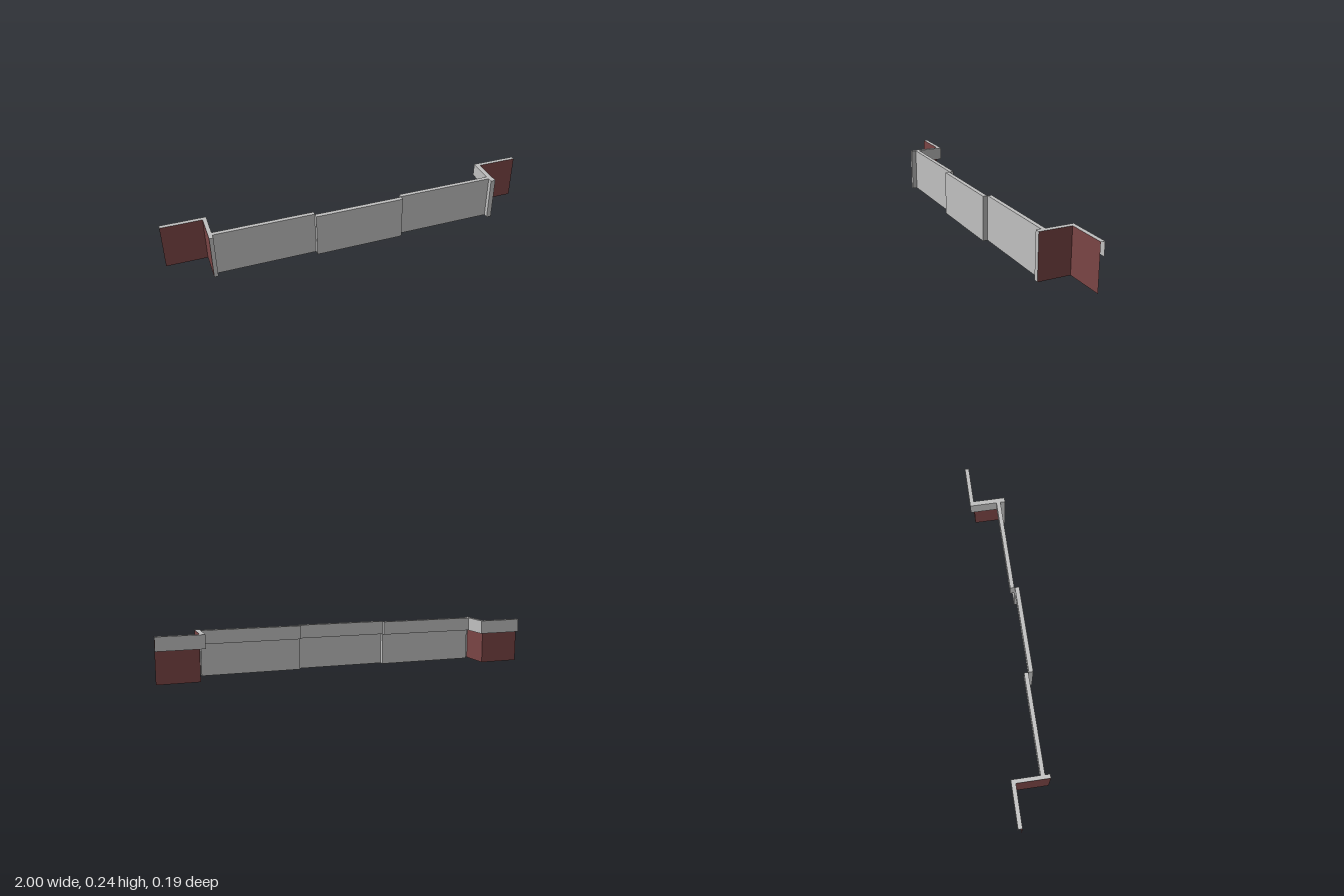
import * as THREE from 'three';

const TOP = 0.238, BAND = 0.167; // wall height, lower edge of the rear coping band

export function createModel() {
  const model = new THREE.Group();
  model.name = 'parapet';
  const metal = new THREE.MeshStandardMaterial({ name: 'lightGrey', color: 0xc0c0c0, side: THREE.DoubleSide });
  const red = new THREE.MeshStandardMaterial({ name: 'brickRed', color: 0x7a4545, side: THREE.DoubleSide });

  // Upright sheet between two plan points [x, z]
  function sheet(name, a, b, y0, material) {
    const dx = b[0] - a[0], dz = b[1] - a[1];
    const mesh = new THREE.Mesh(new THREE.PlaneGeometry(Math.hypot(dx, dz), TOP - y0), material);
    mesh.position.set((a[0] + b[0]) / 2, (TOP + y0) / 2, (a[1] + b[1]) / 2);
    mesh.rotation.y = Math.atan2(-dz, dx);
    mesh.name = name;
    model.add(mesh);
  }

  // Flat coping strip over a plan rectangle
  function coping(name, x0, x1, z0, z1) {
    const mesh = new THREE.Mesh(new THREE.PlaneGeometry(Math.abs(x1 - x0), z1 - z0).rotateX(-Math.PI / 2), metal);
    mesh.position.set((x0 + x1) / 2, TOP, (z0 + z1) / 2);
    mesh.name = name;
    model.add(mesh);
  }

  // Centre panel, projecting forward
  sheet('centrePanel', [-0.24, 0.097], [0.236, 0.097], 0, metal);
  sheet('centreBand', [-0.24, 0.074], [0.236, 0.074], BAND, metal);
  coping('centreCoping', -0.24, 0.236, 0.074, 0.097);

  for (const [s, side, step, jamb] of [[1, 'left', 0.236, 0.759], [-1, 'right', 0.24, 0.764]]) {
    const outer = s * 0.785, inner = s * jamb, mid = s * step, end = s;

    // Side panel, set back, with the step up to the centre panel
    sheet(side + 'Panel', [mid, 0.071], [inner, 0.071], 0, metal);
    sheet(side + 'PanelBand', [mid, 0.049], [inner, 0.049], BAND, metal);
    sheet(side + 'Step', [mid, 0.071], [mid, 0.097], 0, metal);
    sheet(side + 'StepBand', [mid, 0.049], [mid, 0.074], BAND, metal);
    coping(side + 'PanelCoping', mid, inner, 0.049, 0.071);

    // Jamb at the front edge of the return
    sheet(side + 'JambFront', [inner, 0.097], [outer, 0.097], 0, metal);
    sheet(side + 'JambSide', [inner, 0.071], [inner, 0.097], 0, metal);

    // Return wall running back
    sheet(side + 'Return', [outer, -0.075], [outer, 0.097], 0, red);
    sheet(side + 'ReturnBand', [inner, -0.097], [inner, 0.049], BAND, metal);
    coping(side + 'ReturnCoping', inner, outer, -0.097, 0.097);

    // Rear wing
    sheet(side + 'Wing', [outer, -0.075], [end, -0.075], 0, red);
    sheet(side + 'WingBand', [inner, -0.097], [end, -0.097], BAND, metal);
    coping(side + 'WingCoping', outer, end, -0.097, -0.075);
  }
  return model;
}
